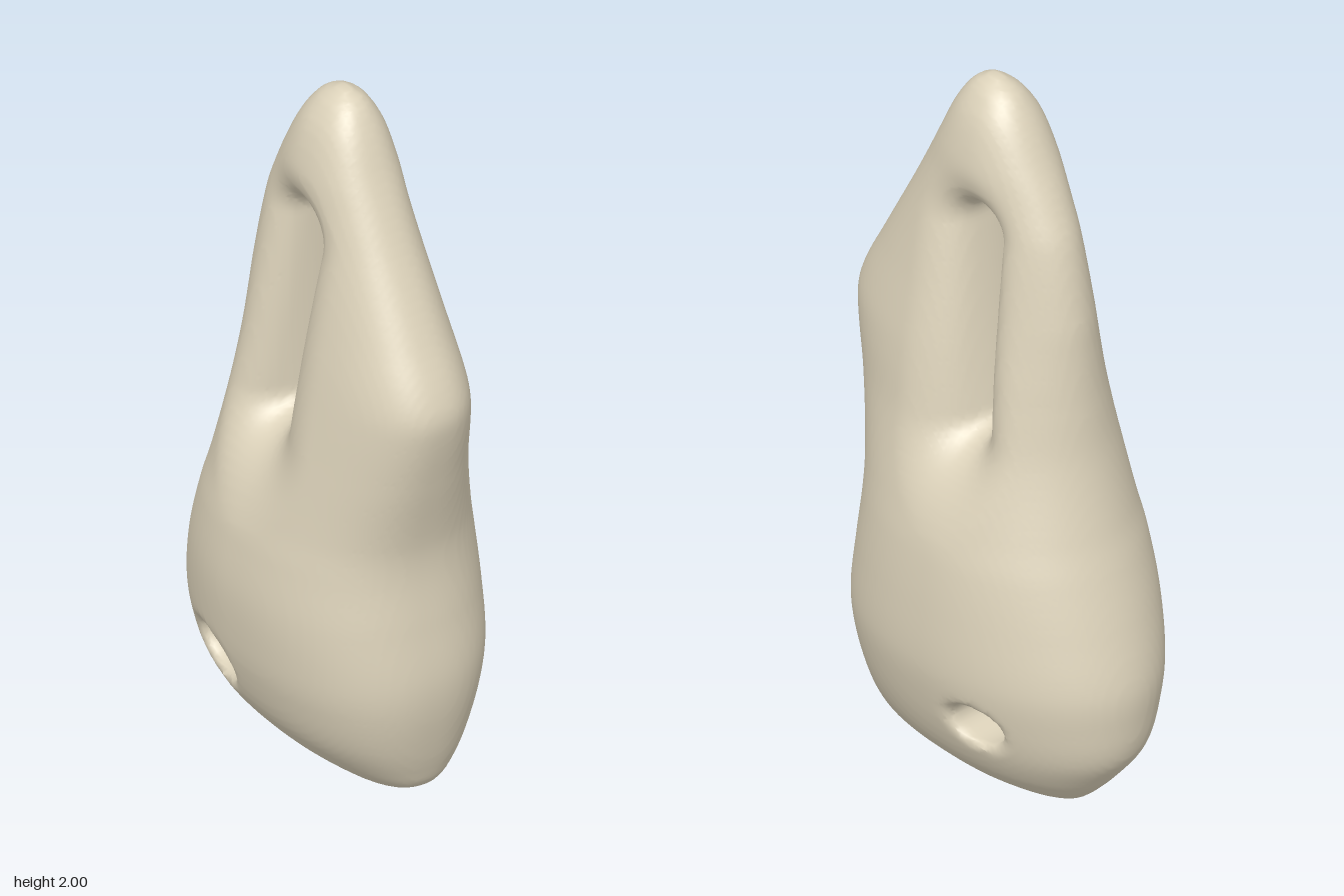
import * as THREE from 'three';

// Body sections: height, front z, back z, min x, max x, z of the widest point
const SECTIONS = [
  [0.00, 0.32, -0.335, -0.075, 0.135, -0.03],
  [0.03, 0.375, -0.372, -0.125, 0.18, -0.03],
  [0.09, 0.405, -0.43, -0.195, 0.238, -0.03],
  [0.18, 0.432, -0.495, -0.262, 0.284, -0.03],
  [0.30, 0.456, -0.516, -0.306, 0.318, -0.03],
  [0.40, 0.46, -0.515, -0.325, 0.332, -0.03],
  [0.55, 0.442, -0.475, -0.335, 0.328, -0.03],
  [0.70, 0.425, -0.425, -0.322, 0.312, -0.03],
  [0.80, 0.43, -0.39, -0.303, 0.29, -0.02],
  [1.00, 0.477, -0.335, -0.266, 0.24, 0.0],
  [1.15, 0.512, -0.312, -0.239, 0.214, 0.03],
  [1.22, 0.518, -0.304, -0.227, 0.202, 0.04],
  [1.29, 0.495, -0.297, -0.216, 0.188, 0.05],
  [1.40, 0.435, -0.285, -0.198, 0.166, 0.06],
  [1.60, 0.325, -0.24, -0.168, 0.133, 0.05],
  [1.70, 0.272, -0.195, -0.157, 0.12, 0.04],
  [1.80, 0.22, -0.14, -0.146, 0.111, 0.03],
  [1.90, 0.17, -0.083, -0.117, 0.085, 0.03],
  [1.96, 0.13, -0.038, -0.08, 0.05, 0.04],
  [1.985, 0.1, -0.005, -0.052, 0.024, 0.05],
  [2.00, 0.07, 0.03, -0.028, -0.002, 0.05],
];
const FRONT_FULLNESS = 2.35, BACK_FULLNESS = 2, SKEW = 0.05;

// Smooth interpolation of the sections at a given height
function sectionAt(y) {
  const n = SECTIONS.length;
  let i = 0;
  while (i < n - 2 && y > SECTIONS[i + 1][0]) i++;
  const P = (k) => SECTIONS[Math.min(n - 1, Math.max(0, k))];
  const [p, a, b, q] = [P(i - 1), P(i), P(i + 1), P(i + 2)];
  const span = b[0] - a[0];
  const t = Math.min(1, Math.max(0, (y - a[0]) / span));
  return a.map((v, c) => {
    const m0 = (b[c] - p[c]) / (b[0] - p[0]) * span;
    const m1 = (q[c] - a[c]) / (q[0] - a[0]) * span;
    return (2 * t ** 3 - 3 * t * t + 1) * v + (t ** 3 - 2 * t * t + t) * m0
      + (3 * t * t - 2 * t ** 3) * b[c] + (t ** 3 - t * t) * m1;
  });
}

const smoothMax = (a, b, k) =>
  Math.max(a, b) + Math.max(0, k - Math.abs(a - b)) ** 2 / (4 * k);

// Tapered slot through the upper body, flaring outwards
function slot(x, y, z) {
  const y0 = 1.045, z0 = -0.038, dy = 0.535, dz = 0.05;
  const t = Math.min(1, Math.max(0, ((y - y0) * dy + (z - z0) * dz) / (dy * dy + dz * dz)));
  const r = 0.023 + 0.047 * t + (1.9 - 0.7 * t) * x * x;
  return Math.hypot(y - y0 - dy * t, z - z0 - dz * t) - r;
}

// Oval tunnel near the base, wider on the right
function tunnel(x, y, z) {
  const flare = x < 0 ? 0.35 * x * x : 0;
  return (Math.hypot((z + 0.187) / 0.082, (y - 0.253) / 0.058) - 1) * 0.065 - flare;
}

// Signed field: negative inside the solid
function field(x, y, z, s) {
  const a = (s[4] - s[3]) / 2, u = x - (s[4] + s[3]) / 2 + SKEW * (z - s[5]);
  const w = z - s[5], b = w > 0 ? s[1] - s[5] : s[5] - s[2];
  const n = w > 0 ? FRONT_FULLNESS : BACK_FULLNESS;
  const k0 = (Math.abs(u / a) ** n + Math.abs(w / b) ** n) ** (1 / n);
  const k1 = Math.hypot(u / (a * a), w / (b * b));
  let d = k1 < 1e-6 ? -a : k0 * (k0 - 1) / k1;
  d = smoothMax(d, -slot(x, y, z), 0.11);
  d = smoothMax(d, -tunnel(x, y, z), 0.03);
  return Math.max(d, -y, y - 2);
}

// Skin the field with one vertex per crossed cell
function skin(step) {
  const min = [-0.39, -0.03, -0.57];
  const N = [0.78, 2.06, 1.14].map((l) => Math.ceil(l / step) + 1);
  const stride = [1, N[0], N[0] * N[1]];
  const val = new Float32Array(N[0] * N[1] * N[2]);
  for (let j = 0; j < N[1]; j++) {
    const y = min[1] + j * step, s = sectionAt(y);
    for (let k = 0; k < N[2]; k++) for (let i = 0; i < N[0]; i++)
      val[i + j * stride[1] + k * stride[2]] = field(min[0] + i * step, y, min[2] + k * step, s);
  }
  const pos = [], index = [], cell = new Int32Array(val.length).fill(-1);
  for (let k = 0; k < N[2] - 1; k++) for (let j = 0; j < N[1] - 1; j++) for (let i = 0; i < N[0] - 1; i++) {
    const at = i + j * stride[1] + k * stride[2], sum = [0, 0, 0];
    let count = 0;
    for (let c = 0; c < 8; c++) for (let ax = 0; ax < 3; ax++) {
      if (c >> ax & 1) continue;
      const o = [c & 1, c >> 1 & 1, c >> 2 & 1];
      const p = at + o[0] + o[1] * stride[1] + o[2] * stride[2];
      const v0 = val[p], v1 = val[p + stride[ax]];
      if ((v0 < 0) === (v1 < 0)) continue;
      o[ax] += v0 / (v0 - v1);
      for (let q = 0; q < 3; q++) sum[q] += o[q];
      count++;
    }
    if (!count) continue;
    cell[at] = pos.length / 3;
    [i, j, k].forEach((g, q) => pos.push(min[q] + (g + sum[q] / count) * step));
  }
  // One quad around every crossed grid edge
  for (let k = 1; k < N[2] - 1; k++) for (let j = 1; j < N[1] - 1; j++) for (let i = 1; i < N[0] - 1; i++) {
    const at = i + j * stride[1] + k * stride[2];
    for (let ax = 0; ax < 3; ax++) {
      const inside = val[at] < 0;
      if (inside === (val[at + stride[ax]] < 0)) continue;
      const su = stride[(ax + 1) % 3], sv = stride[(ax + 2) % 3];
      const [a, b, c, d] = [cell[at - su - sv], cell[at - sv], cell[at], cell[at - su]];
      if (inside) index.push(a, b, c, a, c, d);
      else index.push(a, c, b, a, d, c);
    }
  }
  const geo = new THREE.BufferGeometry();
  geo.setAttribute('position', new THREE.Float32BufferAttribute(pos, 3));
  geo.setIndex(index);
  geo.computeVertexNormals();
  return geo;
}

export function createModel() {
  const group = new THREE.Group();
  group.name = 'piercedSculpture';
  const stone = new THREE.MeshStandardMaterial({ color: 0xdcd2ba });
  stone.name = 'warm stone';
  const body = new THREE.Mesh(skin(0.015), stone);
  body.name = 'body';
  group.add(body);
  return group;
}
